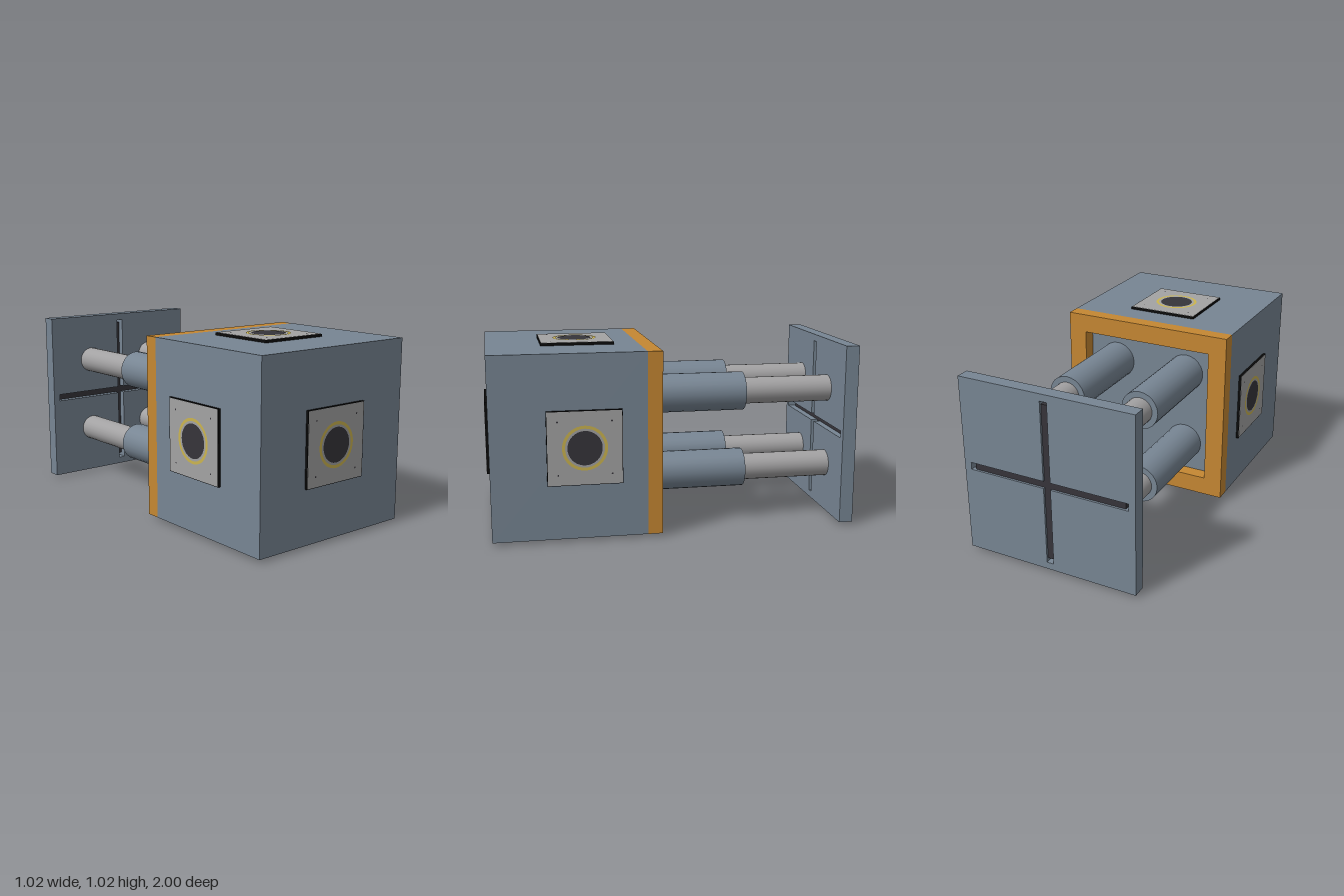
import * as THREE from 'three';

const mat = (name, color, opts = {}) => {
  const m = new THREE.MeshStandardMaterial({ color, ...opts });
  m.name = name;
  return m;
};

export function createModel() {
  const slate = mat('slate', 0x778593);
  const orange = mat('orange', 0xc58732);
  const steel = mat('steel', 0xa2a1a2);
  const panelGrey = mat('panelGrey', 0xa3a3a3);
  const black = mat('black', 0x0a0a0a);
  const dark = mat('dark', 0x36343a);
  const yellow = mat('yellow', 0xcbb450);

  const root = new THREE.Group();
  root.name = 'pistonBlock';
  const CY = 0.512, HALF = 0.495;

  const add = (parent, name, geo, material, x = 0, y = 0, z = 0) => {
    const m = new THREE.Mesh(geo, material);
    m.name = name;
    m.position.set(x, y, z);
    parent.add(m);
    return m;
  };
  const poly = (Type, pts) => new Type(pts.map(([x, y]) => new THREE.Vector2(x, y)));
  const square = (h) => [[-h, -h], [h, -h], [h, h], [-h, h]];
  const cross = (l, w) => [[-l, -w], [-w, -w], [-w, -l], [w, -l], [w, -w], [l, -w],
    [l, w], [w, w], [w, l], [-w, l], [-w, w], [-l, w]];
  const extrude = (shape, depth) =>
    new THREE.ExtrudeGeometry(shape, { depth, bevelEnabled: false });
  // A square slab with a hole of any outline
  const holedSlab = (holePts, depth) => {
    const s = poly(THREE.Shape, square(HALF));
    s.holes.push(poly(THREE.Path, holePts));
    return extrude(s, depth);
  };

  // Main block and the raised frame on its back
  add(root, 'body', new THREE.BoxGeometry(0.99, 0.99, 0.828), slate, 0, CY, 0.569);
  add(root, 'backFrame', holedSlab(square(0.39), 0.08), orange, 0, CY, 0.075);

  // Telescoping struts
  const rodGeo = (r, len) => new THREE.CylinderGeometry(r, r, len, 24).rotateX(Math.PI / 2);
  const sleeveGeo = rodGeo(0.107, 0.58), innerGeo = rodGeo(0.074, 0.5);
  for (const sx of [-1, 1]) for (const sy of [-1, 1]) {
    add(root, 'strutSleeve', sleeveGeo, slate, sx * 0.22, CY + sy * 0.22, -0.135);
    add(root, 'strutRod', innerGeo, steel, sx * 0.22, CY + sy * 0.22, -0.675);
  }

  // Push plate with a cross slot and a dark insert set into it
  add(root, 'pushPlate', holedSlab(cross(0.456, 0.02), 0.075), slate, 0, CY, -1);
  add(root, 'slotInsert', extrude(poly(THREE.Shape, cross(0.436, 0.02)), 0.025), dark, 0, CY, -0.988);

  // Connector panels on five faces, each built facing +z
  const dotGeo = new THREE.CircleGeometry(0.005, 8);
  const addPanel = (name, pos, rx, ry) => {
    const g = new THREE.Group();
    g.name = name;
    add(g, 'panelBase', new THREE.BoxGeometry(0.398, 0.398, 0.014), black, 0, 0, 0.007);
    add(g, 'panelFace', new THREE.BoxGeometry(0.392, 0.392, 0.002), panelGrey, 0, 0, 0.0145);
    add(g, 'yellowRing', new THREE.RingGeometry(0.104, 0.12, 40), yellow, 0, 0, 0.0168);
    add(g, 'portDisc', new THREE.CircleGeometry(0.092, 32), dark, 0, 0, 0.017);
    for (const sx of [-1, 1]) for (const sy of [-1, 1])
      add(g, 'screw', dotGeo, dark, sx * 0.142, sy * 0.142, 0.0165);
    g.position.set(...pos);
    g.rotation.set(rx, ry, 0);
    root.add(g);
  };
  const q = Math.PI / 2, PZ = 0.49;
  addPanel('frontPanel', [0, CY, 0.983], 0, 0);
  addPanel('leftPanel', [HALF, CY, PZ], 0, q);
  addPanel('rightPanel', [-HALF, CY, PZ], 0, -q);
  addPanel('topPanel', [0, CY + HALF, PZ], -q, 0);
  addPanel('bottomPanel', [0, CY - HALF, PZ], q, 0);

  return root;
}
